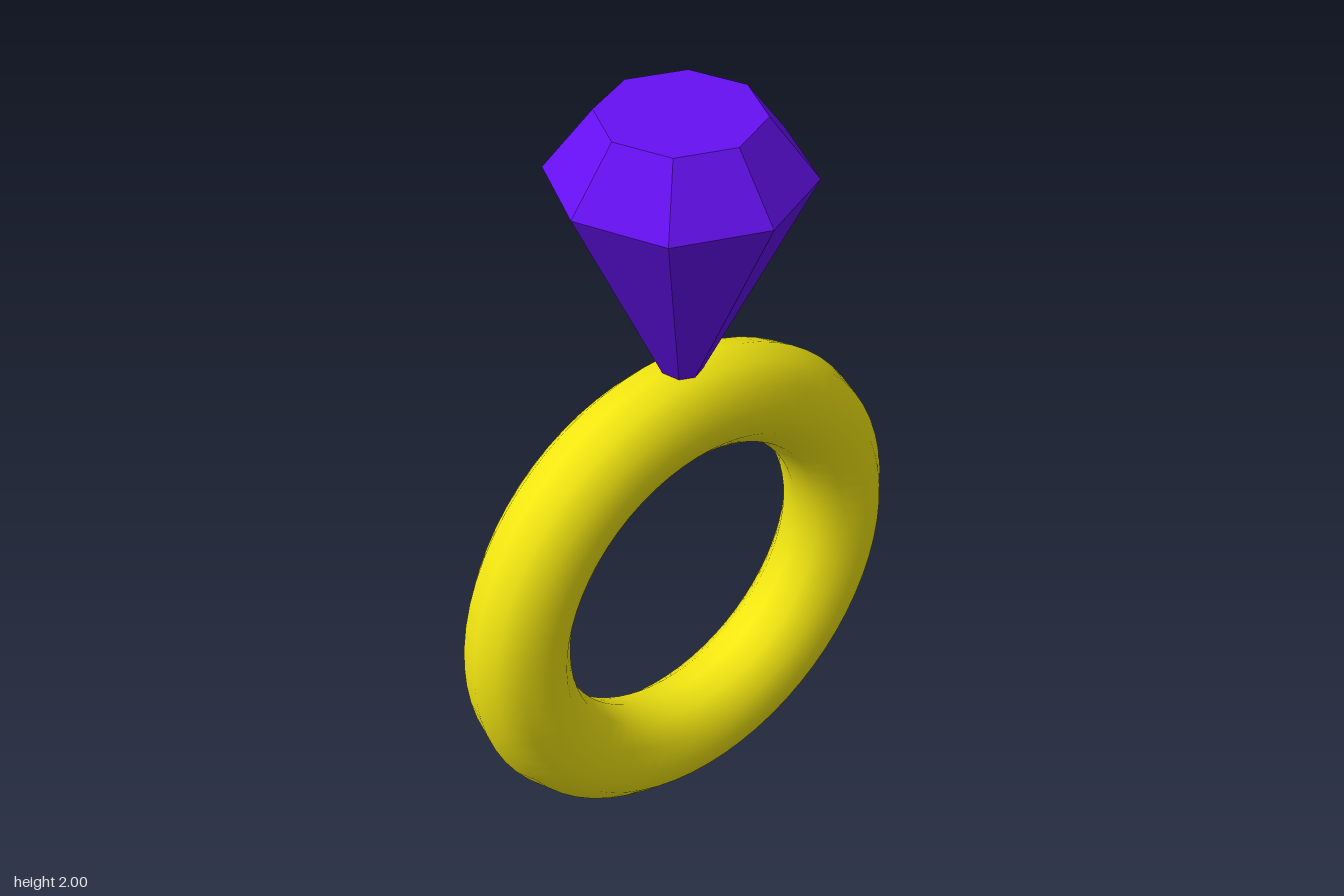
import * as THREE from 'three';

const TUBE = 0.131;          // band thickness radius
const RADIUS = 0.525;        // band centreline radius
const CENTRE_Y = RADIUS + TUBE;

export function createModel() {
  const ring = new THREE.Group();
  ring.name = 'gemRing';

  // Smooth round band standing upright
  const band = new THREE.Mesh(
    new THREE.TorusGeometry(RADIUS, TUBE, 12, 64),
    new THREE.MeshStandardMaterial({ color: 0xf2e611 })
  );
  band.name = 'band';
  band.position.y = CENTRE_Y;
  ring.add(band);

  // Eight-sided faceted gem, its point sunk into the band
  const gemMaterial = new THREE.MeshStandardMaterial({ color: 0x6610f2, flatShading: true });
  const gem = new THREE.Group();
  gem.name = 'gem';
  const addFacets = (name, topRadius, bottomRadius, bottomY, topY, open) => {
    const height = topY - bottomY;
    const mesh = new THREE.Mesh(
      new THREE.CylinderGeometry(topRadius, bottomRadius, height, 8, 1, open),
      gemMaterial
    );
    mesh.name = name;
    mesh.position.y = bottomY + height / 2;
    gem.add(mesh);
  };
  addFacets('gemCrown', 0.2, 0.32, 1.843, 2, false);
  addFacets('gemPavilion', 0.32, 0, 1.19, 1.843, true);
  ring.add(gem);

  return ring;
}
